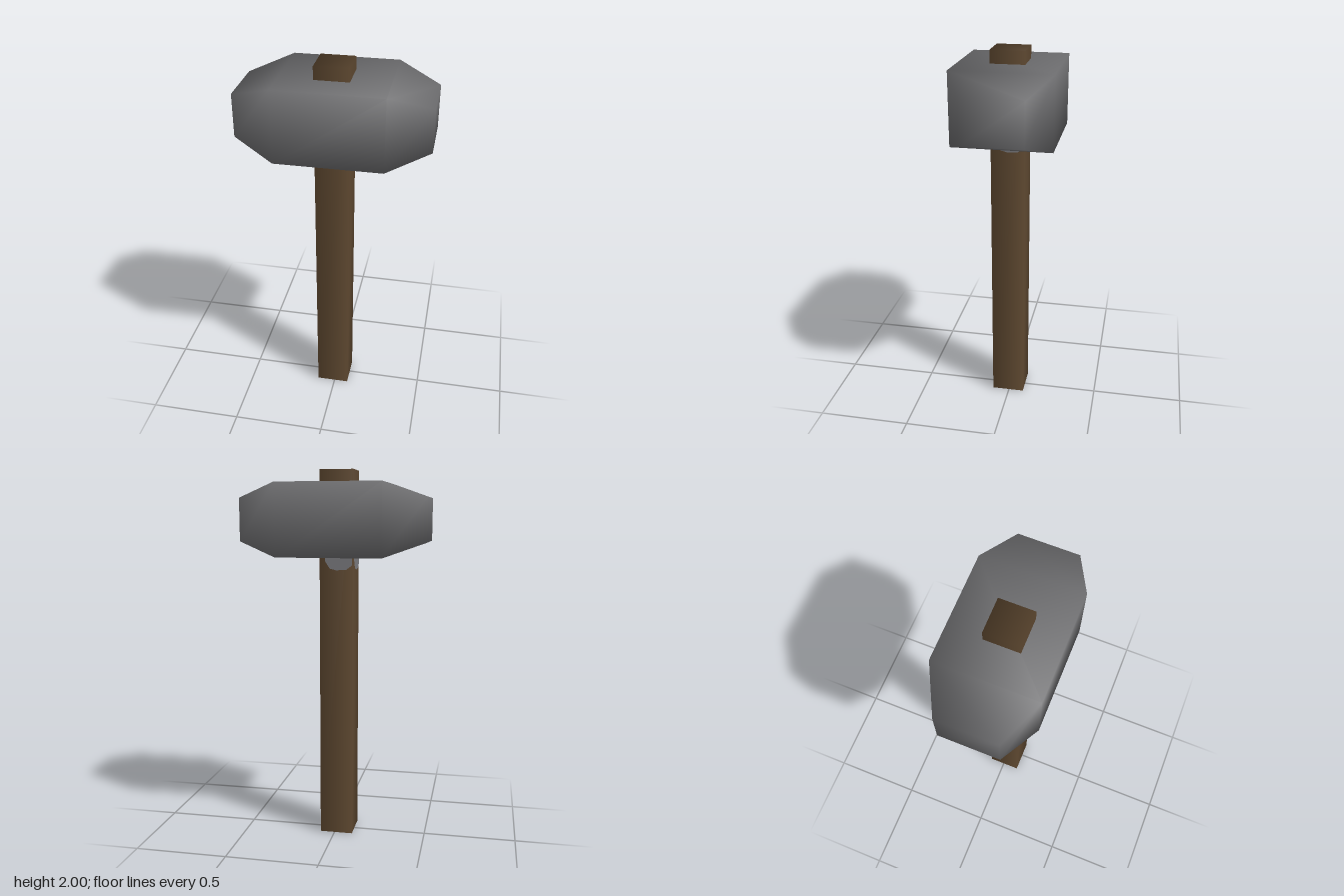
import * as THREE from 'three';
import { mergeVertices } from 'three/addons/utils/BufferGeometryUtils.js';

const material = (name, color, side = THREE.FrontSide) =>
  new THREE.MeshStandardMaterial({ name, color, side });

// Weld a box's corners so that its normals run smoothly round the edges
function smooth(geometry) {
  geometry.deleteAttribute('normal');
  geometry.deleteAttribute('uv');
  const welded = mergeVertices(geometry, 1e-4);
  welded.computeVertexNormals();
  return welded;
}

function plate(points, mat, name) {
  const shape = new THREE.Shape(points.map(([x, y]) => new THREE.Vector2(x, y)));
  const mesh = new THREE.Mesh(new THREE.ShapeGeometry(shape), mat);
  mesh.name = name;
  return mesh;
}

export function createModel() {
  const model = new THREE.Group();
  model.name = 'hammer';
  const iron = material('iron grey', 0x6a6a6c);
  const wood = material('dark wood', 0x5e4830);
  const paleIron = material('pale iron', 0x78787c, THREE.DoubleSide);

  // Head: a block whose two striking ends taper inwards
  const headGeometry = new THREE.BoxGeometry(0.99, 0.38, 0.52, 3, 1, 1);
  const p = headGeometry.attributes.position;
  for (let i = 0; i < p.count; i++) {
    const x = p.getX(i);
    if (Math.abs(x) > 0.4) {
      p.setY(i, Math.sign(p.getY(i)) * 0.113);
      p.setZ(i, Math.sign(p.getZ(i)) * 0.155);
    } else {
      p.setX(i, Math.sign(x) * 0.276);
    }
  }
  const head = new THREE.Mesh(smooth(headGeometry), iron);
  head.name = 'head';
  head.position.y = 1.742;
  model.add(head);

  // Handle: a square shaft passing through the head, slightly off centre
  const handle = new THREE.Group();
  handle.name = 'handle';
  handle.position.set(-0.011, 0, 0.005);
  const shaft = new THREE.Mesh(smooth(new THREE.BoxGeometry(0.179, 1.998, 0.179)), wood);
  shaft.name = 'shaft';
  shaft.position.y = 1.001;
  handle.add(shaft);

  // Worn metal marks just under the head, one on each side of the shaft
  const mark = [[-0.06, 1.6], [-0.06, 1.525], [-0.035, 1.487], [0.0, 1.478],
    [0.055, 1.482], [0.086, 1.505], [0.086, 1.6]];
  for (let i = 0; i < 4; i++) {
    const side = new THREE.Group();
    side.name = 'collarMark';
    side.rotation.y = i * Math.PI / 2;
    const patch = plate(mark, paleIron, 'collarMarkPlate');
    patch.position.z = 0.0915;
    side.add(patch);
    handle.add(side);
  }

  // Mark on the butt of the shaft
  const butt = plate([[0.086, -0.086], [0.086, 0.06], [0.03, 0.04], [-0.02, 0.01],
    [-0.06, -0.03], [-0.07, -0.086]], paleIron, 'buttMark');
  butt.rotation.x = Math.PI / 2;
  handle.add(butt);

  model.add(handle);
  return model;
}
